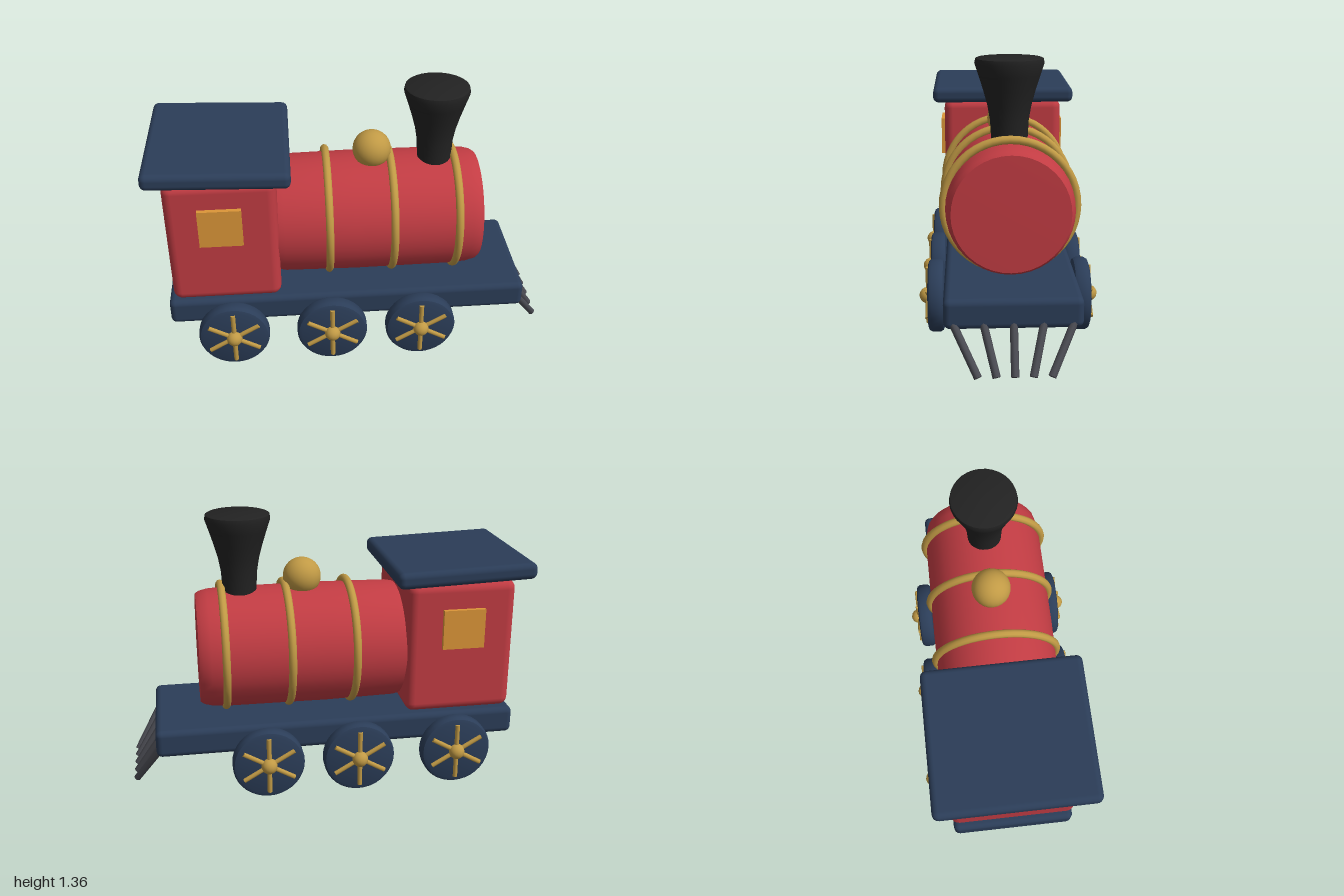
import * as THREE from 'three';
import { toCreasedNormals } from 'three/addons/utils/BufferGeometryUtils.js';
import { RoundedBoxGeometry } from 'three/addons/geometries/RoundedBoxGeometry.js';

const paint = (name, color) => {
  const m = new THREE.MeshStandardMaterial({ color });
  m.name = name;
  return m;
};

export function createModel() {
  const red = paint('red', 0xc23c43);
  const navy = paint('navy', 0x2b3d58);
  const gold = paint('gold', 0xc19a45);
  const amber = paint('amber', 0xdc9638);
  const black = paint('black', 0x222222);
  const grey = paint('grey', 0x4a4b52);

  const train = new THREE.Group();
  train.name = 'steamLocomotive';

  const add = (name, geometry, material, x, y, z, parent = train) => {
    const mesh = new THREE.Mesh(geometry, material);
    mesh.name = name;
    mesh.position.set(x, y, z);
    parent.add(mesh);
    return mesh;
  };
  const lathe = (points, sides) => toCreasedNormals(
    new THREE.LatheGeometry(points.map(([r, y]) => new THREE.Vector2(r, y)), sides), 0.6);

  // Chassis
  add('chassis', new RoundedBoxGeometry(1.82, 0.14, 0.62, 3, 0.03), navy, -0.04, 0.288, 0);

  // Cab, sloping roof and side windows
  add('cab', new RoundedBoxGeometry(0.54, 0.67, 0.64, 3, 0.045), red, -0.65, 0.71, 0);
  add('roof', new RoundedBoxGeometry(0.69, 0.082, 0.76, 3, 0.03), navy, -0.655, 1.092, 0)
    .rotation.z = -0.035;
  for (const side of [1, -1]) {
    add('window', new THREE.BoxGeometry(0.21, 0.2, 0.04), amber, -0.655, 0.815, side * 0.322);
  }

  // Boiler with rounded ends, lying along x
  const boiler = add('boiler', lathe([
    [0, -0.41], [0.27, -0.41], [0.293, -0.39], [0.301, -0.35], [0.307, 0],
    [0.304, 0.5], [0.298, 0.58], [0.288, 0.62], [0.275, 0.638], [0, 0.642],
  ], 40), red, 0, 0.673, 0);
  boiler.rotation.z = -Math.PI / 2;

  // Bands around the boiler
  for (const x of [-0.13, 0.19, 0.51]) {
    add('boilerBand', new THREE.TorusGeometry(0.311, 0.02, 10, 48), gold, x, 0.683, 0)
      .rotation.y = Math.PI / 2;
  }

  // Steam dome and flared chimney
  add('steamDome', new THREE.SphereGeometry(0.096, 24, 16), gold, 0.1, 1.028, 0);
  add('chimney', lathe([
    [0, 0.9], [0.084, 0.9], [0.085, 0.98], [0.09, 1.07], [0.102, 1.14],
    [0.121, 1.21], [0.143, 1.28], [0.161, 1.335], [0.157, 1.356], [0.148, 1.36], [0, 1.36],
  ], 32), black, 0.415, 0, 0);

  // Wheels, each with six spokes and a hub on its outer face
  const tyre = lathe([
    [0, -0.04], [0.155, -0.04], [0.171, -0.034], [0.179, -0.02],
    [0.179, 0.02], [0.171, 0.034], [0.155, 0.04], [0, 0.04],
  ], 36);
  for (const side of [1, -1]) {
    for (const x of [-0.63, -0.13, 0.325]) {
      const wheel = new THREE.Group();
      wheel.name = 'wheel';
      wheel.position.set(x, 0.18, side * 0.355);
      train.add(wheel);
      add('wheelDisc', tyre, navy, 0, 0, 0, wheel).rotation.x = Math.PI / 2;
      for (let i = 0; i < 3; i++) {
        add('spoke', new THREE.CylinderGeometry(0.012, 0.012, 0.29, 8), gold, 0, 0, side * 0.041, wheel)
          .rotation.z = i * Math.PI / 3;
      }
      add('hub', new THREE.SphereGeometry(0.04, 16, 12), gold, 0, 0, side * 0.045, wheel);
    }
  }

  // Cowcatcher bars converging downwards
  const up = new THREE.Vector3(0, 1, 0);
  for (let i = -2; i <= 2; i++) {
    const top = new THREE.Vector3(0.85, 0.25, i * 0.135);
    const foot = new THREE.Vector3(0.978, 0.046, i * 0.08);
    const along = top.clone().sub(foot);
    const mid = top.clone().add(foot).multiplyScalar(0.5);
    const bar = add('cowcatcherBar', new THREE.CylinderGeometry(0.018, 0.018, along.length(), 8),
      grey, mid.x, mid.y, mid.z);
    bar.quaternion.setFromUnitVectors(up, along.normalize());
  }

  return train;
}
